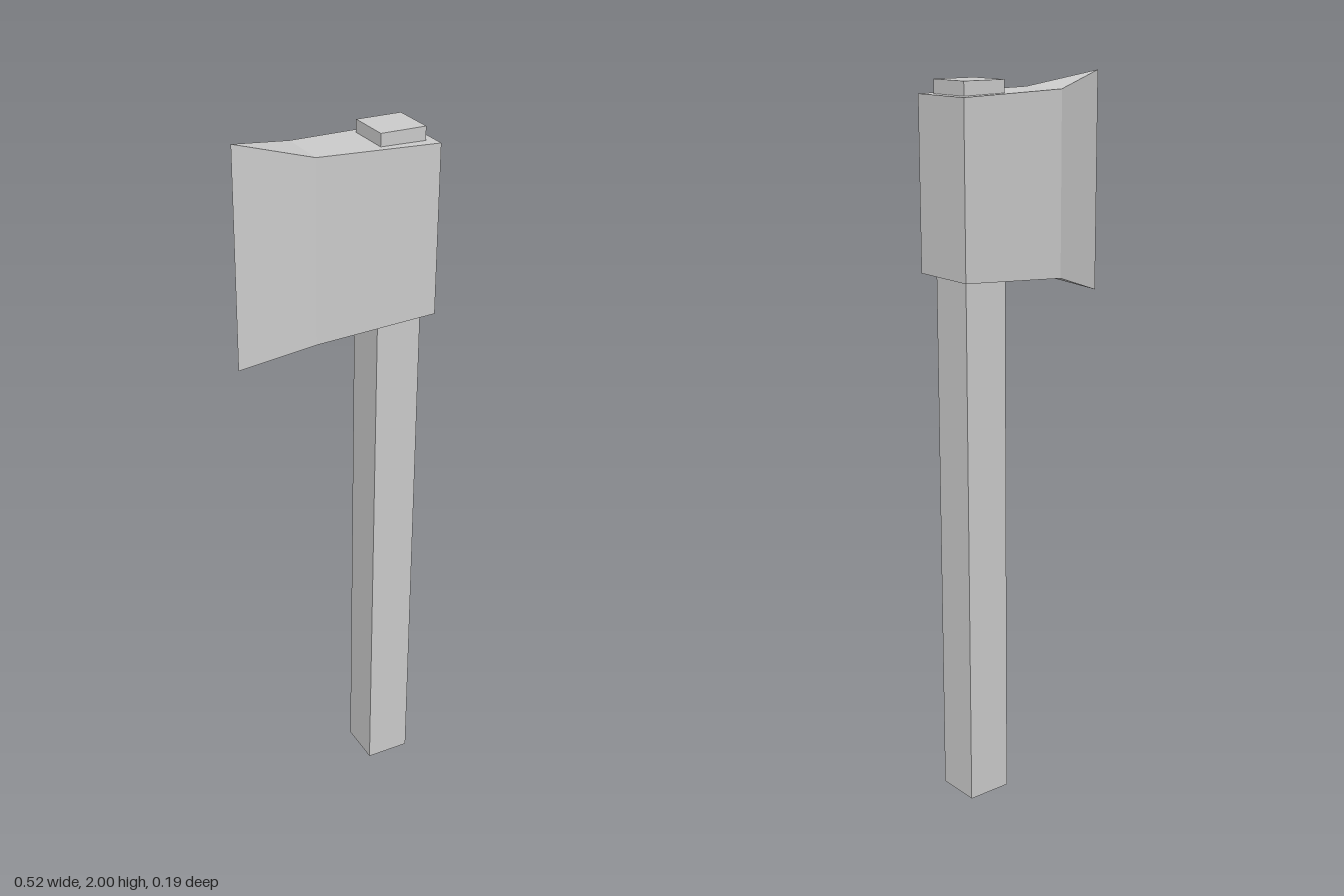
import * as THREE from 'three';

const material = new THREE.MeshStandardMaterial({ color: 0xcccccc, flatShading: true });

// Loft through rectangular sections running from the poll (+x) to the cutting edge (-x).
function headGeometry(sections) {
  const rings = sections.map(({ x, bottom, top, halfZ }) => [
    new THREE.Vector3(x, top, halfZ),
    new THREE.Vector3(x, bottom, halfZ),
    new THREE.Vector3(x, bottom, -halfZ),
    new THREE.Vector3(x, top, -halfZ),
  ]);
  const points = [];
  const triangle = (...t) => {
    // Skip the triangles that collapse at the sharp edge.
    if (new THREE.Triangle(...t).getArea() > 1e-6) points.push(...t);
  };
  const quad = (a, b, c, d) => {
    triangle(a, b, c);
    triangle(a, c, d);
  };
  quad(...rings[0]);
  for (let i = 0; i < rings.length - 1; i++) {
    for (let k = 0; k < 4; k++) {
      const n = (k + 1) % 4;
      quad(rings[i][k], rings[i + 1][k], rings[i + 1][n], rings[i][n]);
    }
  }
  const geometry = new THREE.BufferGeometry().setFromPoints(points);
  geometry.computeVertexNormals();
  return geometry;
}

export function createModel() {
  const axe = new THREE.Group();
  axe.name = 'axe';

  // Square handle passing through the head
  const handle = new THREE.Mesh(new THREE.BoxGeometry(0.128, 1.99, 0.128), material);
  handle.name = 'handle';
  handle.position.set(0.173, 0.995, -0.001);
  axe.add(handle);

  // Wedge head: poll, cheek, cutting edge
  const head = new THREE.Mesh(headGeometry([
    { x: 0.262, bottom: 1.492, top: 1.953, halfZ: 0.097 },
    { x: -0.073, bottom: 1.464, top: 1.96, halfZ: 0.073 },
    { x: -0.262, bottom: 1.4, top: 2, halfZ: 0 },
  ]), material);
  head.name = 'head';
  head.position.z = -0.001;
  axe.add(head);

  return axe;
}
